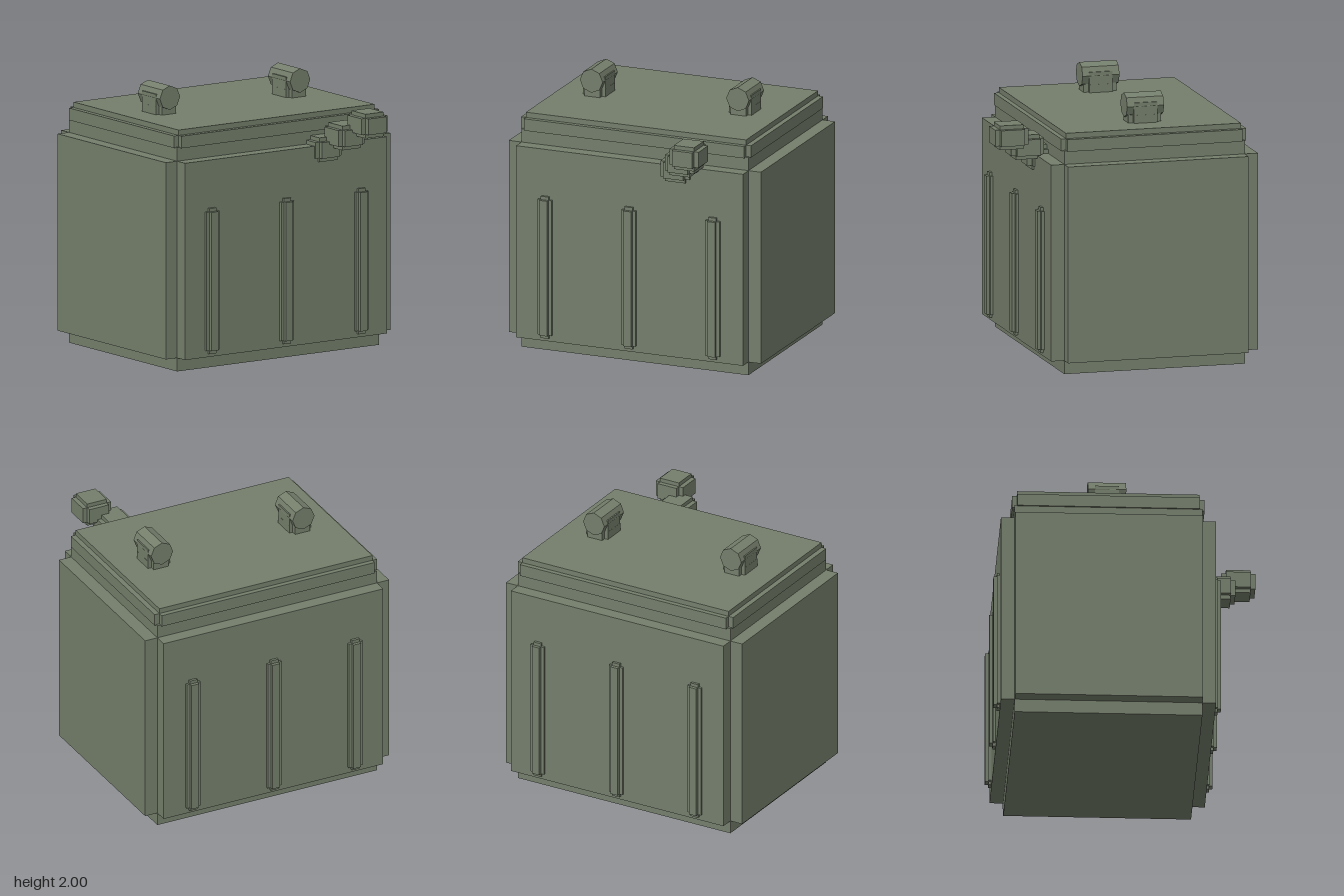
import * as THREE from 'three';

const material = new THREE.MeshStandardMaterial({ color: 0x757f6c, flatShading: true });

function addMesh(parent, name, geometry, x, y, z) {
  const mesh = new THREE.Mesh(geometry, material);
  mesh.name = name;
  mesh.position.set(x, y, z);
  parent.add(mesh);
  return mesh;
}

// Box with notched edges: a core whose six faces are each pushed outwards.
// core and outer are half sizes [x, y, z].
function notchedBox(parent, name, center, core, outer) {
  const group = new THREE.Group();
  group.name = name;
  group.position.set(...center);
  ['x', 'y', 'z'].forEach((axis, i) => {
    const half = core.slice();
    half[i] = outer[i];
    addMesh(group, `${name}Along${axis.toUpperCase()}`,
      new THREE.BoxGeometry(...half.map((h) => h * 2)), 0, 0, 0);
  });
  parent.add(group);
  return group;
}

export function createModel() {
  const model = new THREE.Group();
  model.name = 'container';
  const cx = -0.155; // centre of the body, left of which the spout sticks out

  // Main body and lid
  notchedBox(model, 'body', [cx, 0.83, 0], [0.685, 0.73, 0.9], [0.785, 0.83, 1]);
  notchedBox(model, 'lid', [cx, 1.7, 0], [0.665, 0.045, 0.873], [0.702, 0.085, 0.912]);

  // Three upright ribs on each side
  for (const side of [-1, 1]) {
    for (const z of [-0.665, 0, 0.665]) {
      notchedBox(model, 'sideRib', [cx + side * 0.785, 0.665, z],
        [0.02, 0.515, 0.031], [0.045, 0.54, 0.056]);
    }
  }

  // Two grips on the lid: a post with an eight-sided bar across it
  for (const z of [-0.58, 0.58]) {
    const handle = new THREE.Group();
    handle.name = 'lidHandle';
    handle.position.set(cx, 0, z);
    notchedBox(handle, 'handlePost', [0, 1.81, 0], [0.088, 0.035, 0.062], [0.125, 0.125, 0.09]);
    addMesh(handle, 'handlePlate', new THREE.BoxGeometry(0.176, 0.16, 0.178), 0, 1.857, 0);
    const bar = addMesh(handle, 'handleBar',
      new THREE.CylinderGeometry(0.09, 0.09, 0.28, 8), 0, 1.91, 0);
    bar.rotation.z = Math.PI / 2;
    model.add(handle);
  }

  // Spout: a rising diagonal chain of notched blocks
  for (let i = 0; i < 3; i++) {
    notchedBox(model, 'spoutBlock', [0.555 + i * 0.15, 1.53 + i * 0.1, -0.367 - i * 0.1],
      [0.09, 0.06, 0.08], [0.125, 0.09, 0.115]);
  }

  return model;
}
